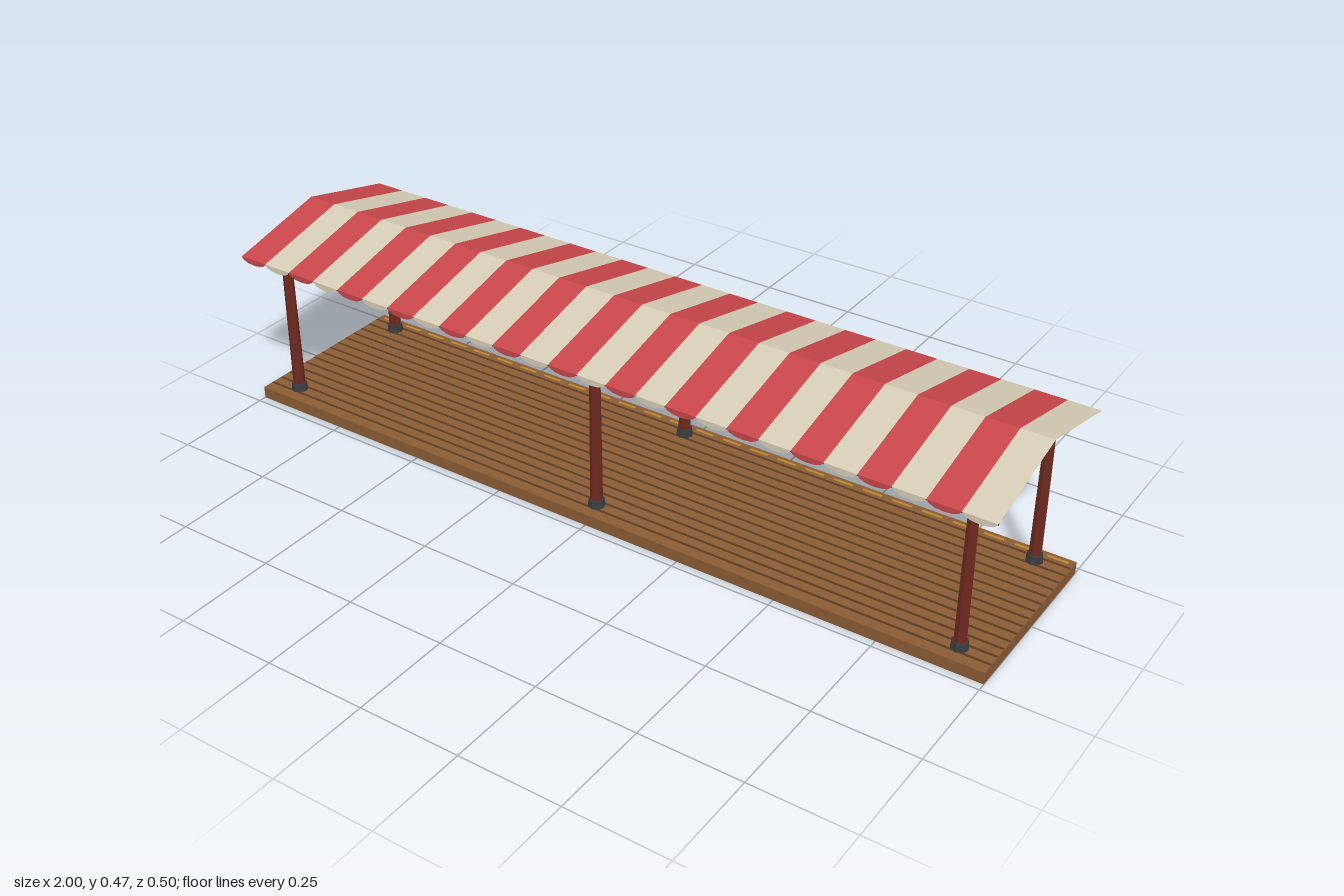
import * as THREE from 'three';

const flat = (name, color) => {
  const m = new THREE.MeshStandardMaterial({ color });
  m.name = name;
  return m;
};

export function createModel() {
  const red = flat('canopy red', 0xc8464a);
  const cream = flat('canopy cream', 0xd6ccb5);
  const wood = flat('deck wood', 0x8a5c35);
  const groove = flat('dark wood', 0x5a3b22);
  const postRed = flat('post maroon', 0x6e2a20);
  const iron = flat('iron', 0x3b3c40);
  const gold = flat('gold', 0xb88a2a);
  red.side = cream.side = THREE.DoubleSide;
  for (const m of [postRed, iron, gold]) m.flatShading = true;

  const model = new THREE.Group();
  const add = (parent, name, geometry, material, x = 0, y = 0, z = 0) => {
    const mesh = new THREE.Mesh(geometry, material);
    mesh.name = name;
    mesh.position.set(x, y, z);
    parent.add(mesh);
    return mesh;
  };

  // Deck: slab with lengthwise plank gaps above and below
  const deck = new THREE.Group();
  deck.name = 'deck';
  model.add(deck);
  add(deck, 'deckSlab', new THREE.BoxGeometry(2, 0.03, 0.46), wood, 0, 0.015, 0);
  const planks = 15;
  const gap = new THREE.BoxGeometry(1.998, 0.001, 0.006);
  for (let i = 1; i < planks; i++) {
    const z = -0.23 + (i * 0.46) / planks;
    add(deck, 'plankGap', gap, groove, 0, 0.0303, z);
    add(deck, 'undersideGap', gap, groove, 0, 0.0003, z);
  }

  // Dashed safety line along the back edge
  const dash = new THREE.BoxGeometry(0.05, 0.001, 0.007);
  for (let i = 0; i < 26; i++) {
    add(deck, 'edgeDash', dash, gold, -1 + (i + 0.5) / 13, 0.0306, -0.216);
  }

  // Six tapered posts with iron feet and gold collars
  const shaft = new THREE.CylinderGeometry(0.0125, 0.015, 0.384, 8);
  const foot = new THREE.CylinderGeometry(0.018, 0.0208, 0.02, 8);
  const collar = new THREE.CylinderGeometry(0.0168, 0.0168, 0.011, 8);
  for (const x of [-0.92, 0, 0.92]) {
    for (const z of [-0.184, 0.184]) {
      const post = new THREE.Group();
      post.name = 'post';
      post.position.set(x, 0, z);
      model.add(post);
      add(post, 'postShaft', shaft, postRed, 0, 0.222, 0);
      add(post, 'postFoot', foot, iron, 0, 0.04, 0);
      add(post, 'postCollar', collar, gold, 0, 0.406, 0);
    }
  }

  // Striped pitched canopy with a scalloped edge on each side
  const stripes = 26, w = 2 / stripes;
  const half = 0.252, eave = 0.41, ridge = 0.47;
  const slope = new THREE.PlaneGeometry(w, Math.hypot(half, ridge - eave));
  slope.rotateX(-Math.atan2(half, ridge - eave));
  const edge = new THREE.Shape();
  edge.moveTo(-w / 2, 0);
  for (let k = 1; k < 6; k++) {
    const a = Math.PI + (k * Math.PI) / 6;
    edge.lineTo((Math.cos(a) * w) / 2, Math.sin(a) * 0.015);
  }
  edge.lineTo(w / 2, 0);
  const scallop = new THREE.ShapeGeometry(edge);
  for (const side of [0, 1]) {
    const canopy = new THREE.Group();
    canopy.name = side ? 'backCanopy' : 'frontCanopy';
    canopy.rotation.y = side * Math.PI;
    model.add(canopy);
    for (let i = 0; i < stripes; i++) {
      const cloth = (i + side) % 2 ? cream : red;
      const x = -1 + (i + 0.5) * w;
      add(canopy, 'canopyStripe', slope, cloth, x, (eave + ridge) / 2, half / 2);
      add(canopy, 'canopyScallop', scallop, cloth, x, eave, half);
    }
  }

  // Thin rod behind the front valance
  const rod = new THREE.CylinderGeometry(0.0025, 0.0025, 2, 6);
  rod.rotateZ(Math.PI / 2);
  add(model, 'eaveRod', rod, iron, 0, 0.408, 0.249);

  return model;
}
